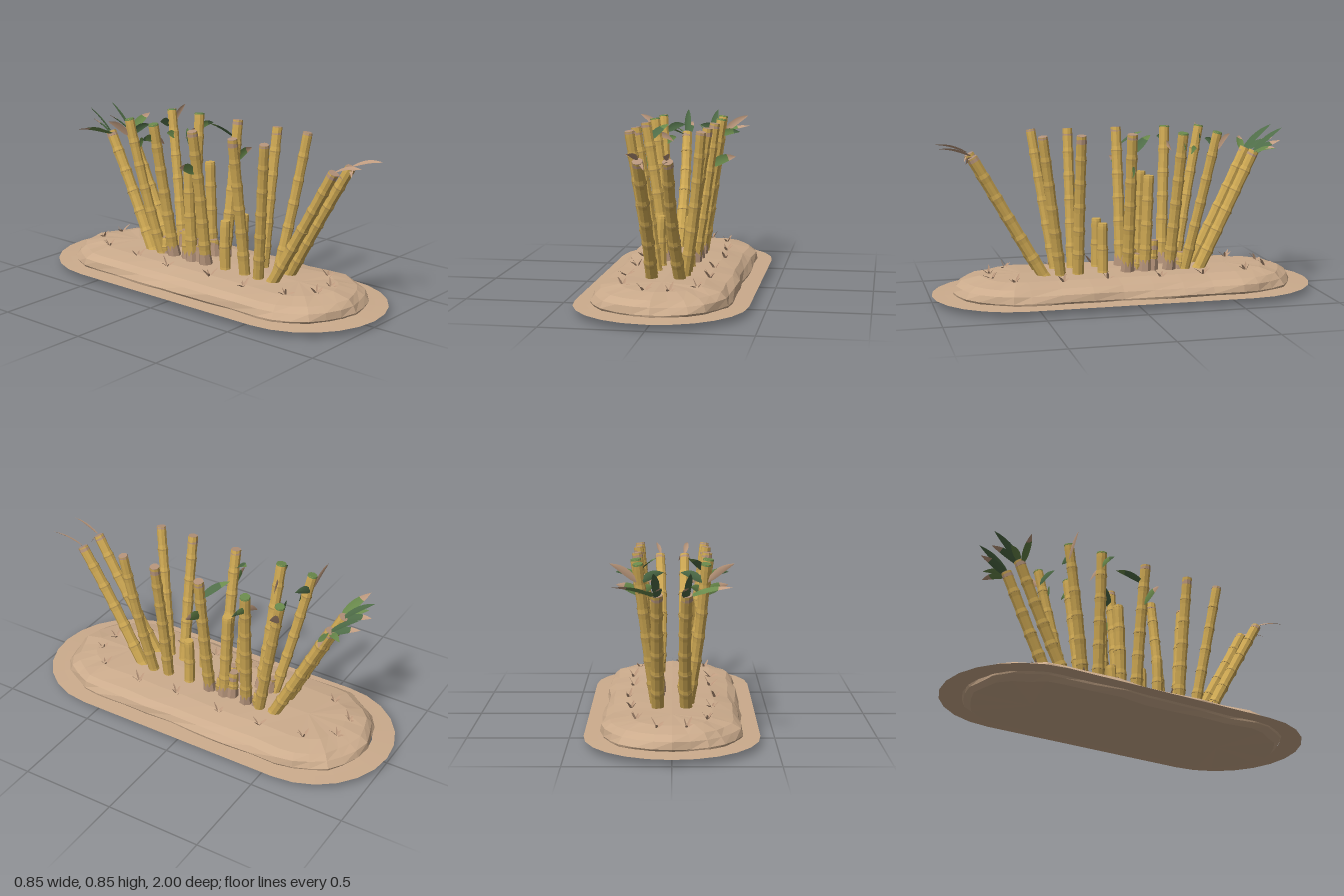
import * as THREE from 'three';

const mat = (name, color, extra = {}) => {
  const m = new THREE.MeshStandardMaterial({ color, ...extra });
  m.name = name;
  return m;
};

export function createModel() {
  const soil = mat('soil', 0xcbab8c, { flatShading: true, side: THREE.DoubleSide });
  const cane = mat('golden cane', 0xd0aa54, { flatShading: true });
  const joint = mat('joint brown', 0xa98a4a, { flatShading: true });
  const cut = mat('cut end', 0xb4937a, { flatShading: true });
  const green = mat('leaf green', 0x6a8a4c, { side: THREE.DoubleSide });
  const dark = mat('dark leaf green', 0x4f6d48, { side: THREE.DoubleSide });
  const dry = mat('dry leaf', 0xc09c80, { side: THREE.DoubleSide });

  const model = new THREE.Group();
  model.name = 'caneBed';
  let seed = 7;
  const rand = () => (seed = (seed * 16807) % 2147483647) / 2147483647;

  const add = (parent, name, geometry, material) => {
    const mesh = new THREE.Mesh(geometry, material);
    mesh.name = name;
    parent.add(mesh);
    return mesh;
  };

  // Rounded-end oval rings, joined into a surface
  const ovalLoft = (rings, halfLength, wobble) => {
    const half = 12, straight = 7, pos = [], idx = [];
    const plan = [];
    for (const end of [1, -1]) {
      for (let i = 0; i <= half; i++) {
        const a = (i / half) * Math.PI;
        plan.push([Math.cos(a) * end, Math.sin(a) * end, halfLength * end]);
      }
      for (let i = 1; i < straight; i++) plan.push([-end, 0, halfLength * end * (1 - (2 * i) / straight)]);
    }
    const n = plan.length;
    rings.forEach(([r, y]) => plan.forEach(([c, s, z], i) => {
      const w = r < 0.1 ? 0 : wobble * (Math.sin(i * 2.3) + Math.sin(i * 1.1 + y * 60)) / 2;
      pos.push(c * (r + w), y + w * 0.3, z + s * (r + w));
    }));
    for (let k = 0; k < rings.length - 1; k++) for (let i = 0; i < n; i++) {
      const a = k * n + i, b = k * n + (i + 1) % n;
      idx.push(a, a + n, b, b, a + n, b + n);
    }
    const g = new THREE.BufferGeometry();
    g.setAttribute('position', new THREE.Float32BufferAttribute(pos, 3));
    g.setIndex(idx);
    g.computeVertexNormals();
    return g;
  };

  // Soil mound and its thin skirt
  add(model, 'soilMound', ovalLoft([[0, 0.012], [0.305, 0.012], [0.335, 0.035], [0.345, 0.055],
    [0.33, 0.088], [0.295, 0.114], [0.2, 0.133], [0, 0.139]], 0.545, 0.012), soil);
  add(model, 'soilSkirt', ovalLoft([[0.31, 0.046], [0.36, 0.043], [0.425, 0.04]], 0.575, 0), soil);

  // Jointed cane between two points
  const makeCane = (a, b, r, capMaterial, capHeight, sheathed) => {
    const group = new THREE.Group();
    group.name = 'cane';
    const from = new THREE.Vector3(...a), dir = new THREE.Vector3(...b).sub(from);
    const len = dir.length();
    const count = Math.max(2, Math.round(len / 0.12)), step = len / count;
    const radius = (t) => r * (1.14 - 0.16 * t);
    const profile = [];
    for (let i = 0; i < count; i++) {
      const q = radius(i / count);
      profile.push(new THREE.Vector2(q * 1.1, i * step));
      profile.push(new THREE.Vector2(q * 0.97, (i + 0.2) * step));
      profile.push(new THREE.Vector2(q, (i + 0.8) * step));
    }
    profile.push(new THREE.Vector2(radius(1), len));
    const g = new THREE.LatheGeometry(profile, 9);
    const p = g.attributes.position;
    // slight bend along the stem
    const bend = (rand() - 0.5) * 0.02;
    for (let i = 0; i < p.count; i++) p.setX(i, p.getX(i) + bend * Math.sin((p.getY(i) / len) * Math.PI));
    g.computeVertexNormals();
    add(group, 'stem', g, cane);
    for (let i = 1; i < count; i++) {
      const q = radius(i / count);
      const ring = add(group, 'joint', new THREE.CylinderGeometry(q * 1.1, q * 1.15, 0.006, 9), joint);
      ring.position.set(bend * Math.sin((i / count) * Math.PI), i * step, 0);
    }
    const top = add(group, 'cutEnd', new THREE.CylinderGeometry(radius(1) * 0.97, radius(1) * 1.06, capHeight, 9), capMaterial);
    top.position.y = len + 0.002 - capHeight / 2;
    if (sheathed) {
      const sheath = add(group, 'baseSheath', new THREE.CylinderGeometry(r * 1.15, r * 1.45, 0.08, 7, 1, true), cut);
      sheath.position.y = 0.035;
    }
    group.position.copy(from);
    group.quaternion.setFromUnitVectors(new THREE.Vector3(0, 1, 0), dir.normalize());
    model.add(group);
  };

  // Folded, pointed blade arching from base to tip; an upright blade faces front and back
  const makeLeaf = (name, a, b, width, base, tip, upright = false, arch = 0.012) => {
    const from = new THREE.Vector3(...a), to = new THREE.Vector3(...b);
    const dir = to.clone().sub(from).normalize();
    const side = new THREE.Vector3(0, upright ? 0 : 1, upright ? 1 : 0).cross(dir).normalize();
    if (!upright) side.addScaledVector(new THREE.Vector3().crossVectors(dir, side), 0.5).normalize();
    const fold = new THREE.Vector3().crossVectors(side, dir);
    const pos = [], idx = [], steps = 6, split = 4;
    for (let i = 0; i <= steps; i++) {
      const t = i / steps;
      const c = from.clone().lerp(to, t);
      c.y += arch * Math.sin(t * Math.PI);
      const w = (width / 2) * Math.pow(Math.max(0, Math.sin(Math.PI * Math.pow(t * 0.96 + 0.04, 0.75))), 0.8);
      for (const k of [-1, 0, 1]) {
        const v = c.clone().addScaledVector(side, k * w).addScaledVector(fold, k === 0 ? w * 0.25 : 0);
        pos.push(v.x, v.y, v.z);
      }
      if (i < steps) for (const k of [0, 1]) {
        const q = i * 3 + k;
        idx.push(q, q + 3, q + 1, q + 1, q + 3, q + 4);
      }
    }
    const g = new THREE.BufferGeometry();
    g.setAttribute('position', new THREE.Float32BufferAttribute(pos, 3));
    g.setIndex(idx);
    g.addGroup(0, split * 12, 0);
    g.addGroup(split * 12, (steps - split) * 12, 1);
    g.computeVertexNormals();
    add(model, name, g, [base, tip]);
  };

  // base x, base z, top x, top y, top z, radius, end colour, end height, base sheath
  const canes = [
    [0.07, 0.43, 0.07, 0.75, 0.79, 0.027, cut, 0.025, false],
    [0.08, 0.35, 0.175, 0.855, 0.455, 0.025, cut, 0.012, false],
    [0.075, 0.26, 0.18, 0.855, 0.26, 0.026, cut, 0.04, false],
    [0.075, 0.13, 0.075, 0.39, 0.13, 0.025, cane, 0.012, false],
    [0.075, 0, 0.18, 0.855, 0, 0.027, cut, 0.025, true],
    [0.08, -0.09, 0.085, 0.63, -0.11, 0.027, cane, 0.012, true],
    [0.07, -0.13, 0.07, 0.29, -0.14, 0.025, cut, 0.05, true],
    [0.06, -0.05, 0.06, 0.22, -0.06, 0.022, cut, 0.04, true],
    [0.07, -0.28, 0.07, 0.22, -0.29, 0.022, cut, 0.05, true],
    [0.075, -0.22, 0.18, 0.855, -0.265, 0.027, green, 0.008, true],
    [0.08, -0.3, 0.165, 0.855, -0.45, 0.025, green, 0.008, false],
    [0.07, -0.38, 0.07, 0.74, -0.68, 0.028, cut, 0.03, false],
  ];
  // base, tip, width, base colour, tip colour, upright
  const leaves = [
    [[0.07, 0.76, 0.8], [0.09, 0.8, 0.96], 0.03, dry, dry, false],
    [[0.07, 0.75, 0.79], [0.035, 0.71, 0.82], 0.02, dry, dry, false],
    [[0.08, 0.73, -0.66], [0.28, 0.78, -0.72], 0.045, green, dry, false],
    [[0.08, 0.73, -0.68], [0.16, 0.76, -0.77], 0.035, green, green, false],
    [[0.07, 0.73, -0.67], [0.085, 0.86, -0.83], 0.04, dark, dark, false],
    [[0.07, 0.72, -0.67], [0.06, 0.79, -0.83], 0.045, dark, dry, false],
    [[0.17, 0.77, -0.45], [0.3, 0.86, -0.47], 0.035, dry, dry, true],
    [[0.15, 0.77, -0.45], [0.04, 0.81, -0.42], 0.04, dark, dark, true],
    [[0.14, 0.71, -0.4], [0.09, 0.74, -0.42], 0.035, green, green, true],
    [[0.17, 0.77, -0.27], [0.28, 0.79, -0.25], 0.035, green, dark, true],
    [[0.17, 0.77, -0.26], [0.08, 0.73, -0.28], 0.03, dry, dry, true],
    [[0.16, 0.64, 0], [0.29, 0.69, 0.01], 0.048, green, dry, true],
    [[0.17, 0.76, -0.01], [0.08, 0.84, -0.12], 0.045, dark, green, false],
  ];
  for (const s of [1, -1]) {
    for (const [x, z, tx, ty, tz, ...rest] of canes) makeCane([s * x, 0.12, z], [s * tx, ty, tz], ...rest);
    for (const [a, b, ...rest] of leaves) makeLeaf('leaf', [s * a[0], a[1], a[2]], [s * b[0], b[1], b[2]], ...rest);

    // Dry tufts scattered on the soil
    for (const [x, z] of [[0.18, 0.6], [0.21, 0.36], [0.2, 0.13], [0.22, -0.14], [0.2, -0.37], [0.17, -0.61], [0.06, 0.7], [0.07, -0.75]]) {
      for (let i = 0; i < 4; i++) {
        const angle = i * 1.6 + rand();
        const l = 0.025 + rand() * 0.025;
        makeLeaf('dryTuft', [s * x, 0.122, z],
          [s * x + Math.cos(angle) * l, 0.14 + rand() * 0.035, z + Math.sin(angle) * l], 0.013, dry, dry, false, 0.004);
      }
    }
  }
  return model;
}
